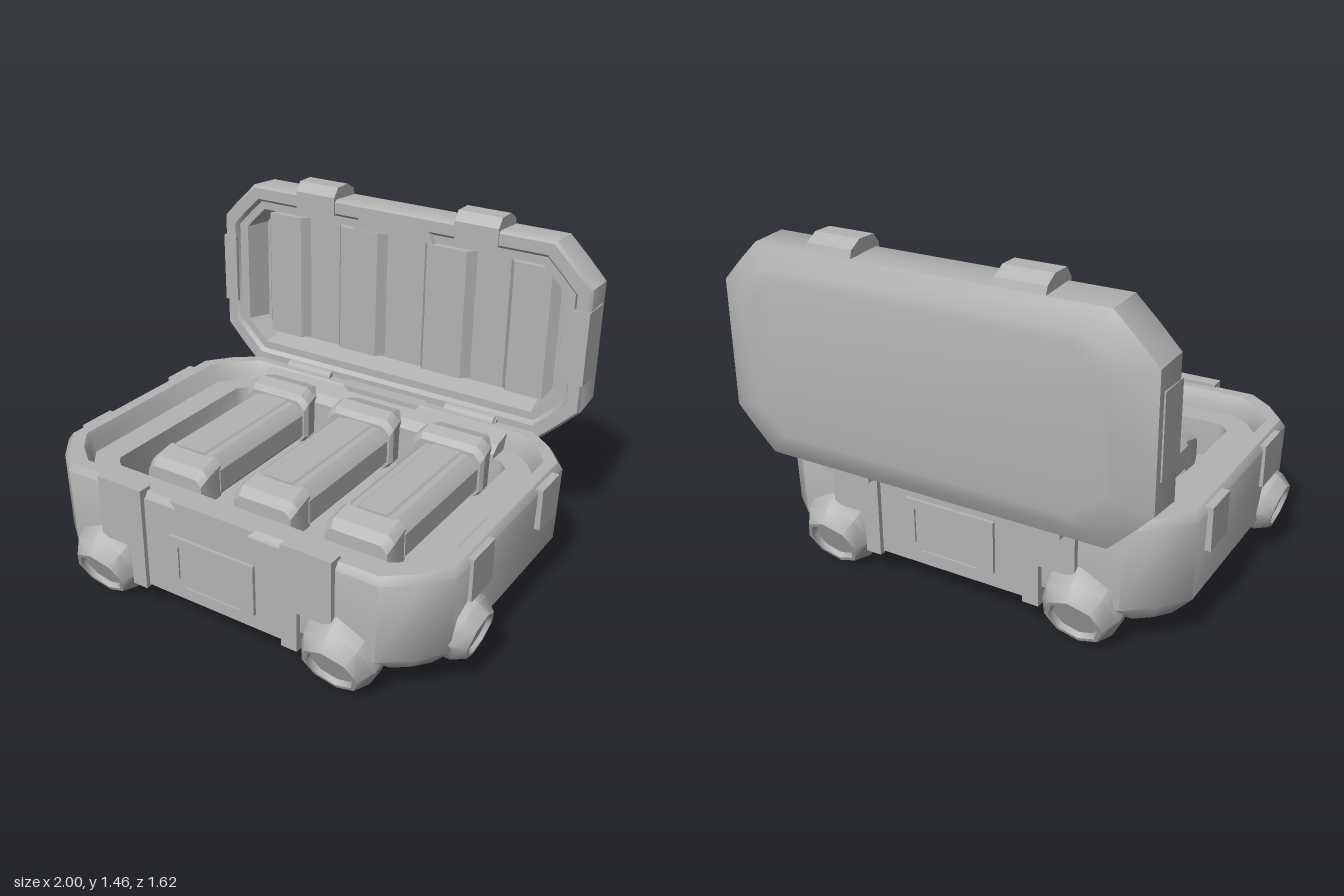
import * as THREE from 'three';
import { toCreasedNormals } from 'three/addons/utils/BufferGeometryUtils.js';

const grey = new THREE.MeshStandardMaterial({ color: 0xb3b3b3 });
grey.name = 'casing grey';

function add(parent, name, geometry, x = 0, y = 0, z = 0) {
  const mesh = new THREE.Mesh(geometry, grey);
  mesh.name = name;
  mesh.position.set(x, y, z);
  parent.add(mesh);
  return mesh;
}

// Chamfered rectangle whose corners bulge slightly outwards
function ringPoints([y, hx, zf, zb, c], bulge) {
  const points = [];
  const m = c * (0.5 - bulge);
  const corner = [[0, c], [m, m], [c, 0]];
  const quads = [[1, 1], [-1, 1], [-1, -1], [1, -1]];
  quads.forEach(([sx, sz], q) => {
    const list = q % 2 ? [...corner].reverse() : corner;
    for (const [dx, dz] of list) {
      points.push([sx * (hx - dx), y, sz > 0 ? zf - dz : zb + dz]);
    }
  });
  return points;
}

// Skin through rings [y, halfX, zFront, zBack, chamfer], closed at both ends
function loft(rings, bulge = 0.06, crease = 0.7) {
  const n = 12, index = [], last = (rings.length - 1) * n;
  const position = rings.flatMap((r) => ringPoints(r, bulge)).flat();
  for (let i = 0; i < last; i += n) {
    for (let j = 0; j < n; j++) {
      const a = i + j, b = i + (j + 1) % n;
      index.push(a, a + n, b, b, a + n, b + n);
    }
  }
  for (let j = 1; j < n - 1; j++) {
    index.push(0, j, j + 1, last, last + j + 1, last + j);
  }
  const g = new THREE.BufferGeometry();
  g.setAttribute('position', new THREE.Float32BufferAttribute(position, 3));
  g.setIndex(index);
  return toCreasedNormals(g, crease);
}

function polygon(points) {
  return new THREE.Shape(points.map(([x, y]) => new THREE.Vector2(x, y)));
}

function plate(points, depth, hole) {
  const shape = polygon(points);
  if (hole) shape.holes.push(polygon(hole));
  return new THREE.ExtrudeGeometry(shape, { depth, bevelEnabled: false });
}

// Rounded bumper foot with a recessed end, pointing along dir
function foot(parent, name, r, position, dir) {
  const profile = [[0, -1.7], [0.5, -1.65], [0.8, -1.4], [1, -0.8], [0.93, -0.35],
    [0.7, 0], [0.6, 0], [0.54, -0.12], [0, -0.12]];
  const g = new THREE.LatheGeometry(profile.map(([x, y]) => new THREE.Vector2(x * r, y * r)), 8);
  const mesh = add(parent, name, toCreasedNormals(g, 0.8), ...position);
  mesh.quaternion.setFromUnitVectors(new THREE.Vector3(0, 1, 0), new THREE.Vector3(...dir).normalize());
}

// Latch, posts, handle and feet of the front; reused on the back
function endFittings(name) {
  const g = new THREE.Group();
  g.name = name;
  const outer = [[-0.2, 0.2], [-0.16, 0.15], [0.16, 0.15], [0.2, 0.2], [0.2, 0.42], [-0.2, 0.42]];
  const inner = [[-0.16, 0.23], [-0.13, 0.2], [0.13, 0.2], [0.16, 0.23], [0.16, 0.38], [-0.16, 0.38]];
  add(g, 'centrePanel', new THREE.BoxGeometry(0.66, 0.4, 0.08), 0, 0.335, -0.036);
  add(g, 'latchFrame', plate(outer, 0.018, inner));
  add(g, 'latchPanel', plate(inner, 0.008), 0, 0, 0.002);
  add(g, 'handle', plate([[-0.2, 0.568], [-0.16, 0.53], [0.16, 0.53], [0.2, 0.568]], 0.09), 0, 0, -0.085);
  for (const s of [-1, 1]) {
    add(g, 'post', plate([[0.33, 0.125], [0.4, 0.125], [0.4, 0.3], [0.55, 0.3], [0.55, 0.575], [0.33, 0.575]]
      .map(([x, y]) => [s * x, y]), 0.06), 0, 0, -0.036);
    foot(g, 'endFoot', 0.172, [s * 0.56, 0.126, 0.05], [0, -0.45, 1]);
  }
  return g;
}

function makeBase() {
  const base = new THREE.Group();
  base.name = 'base';
  // Outer shell, rim, ledge and sunken floor
  add(base, 'tray', loft([
    [0.13, 0.85, 0.63, -0.53, 0.11], [0.2, 0.92, 0.715, -0.605, 0.2],
    [0.53, 0.93, 0.715, -0.605, 0.2], [0.56, 0.91, 0.695, -0.585, 0.19],
    [0.56, 0.86, 0.645, -0.545, 0.17], [0.53, 0.84, 0.625, -0.53, 0.16],
    [0.48, 0.82, 0.61, -0.51, 0.14], [0.48, 0.7, 0.5, -0.41, 0.05],
    [0.32, 0.69, 0.49, -0.4, 0.05],
  ]));
  // Sloping bank behind the canisters
  add(base, 'backBank', plate([[0.41, 0.46], [0.41, 0.5], [0.45, 0.53], [0.545, 0.55], [0.545, 0.46]], 1.24), -0.62)
    .rotation.y = Math.PI / 2;
  const front = endFittings('frontFittings');
  front.position.z = 0.715;
  const back = endFittings('backFittings');
  back.position.z = -0.605;
  back.rotation.y = Math.PI;
  base.add(front, back);
  for (const s of [-1, 1]) {
    add(base, 'sideStrapFront', new THREE.BoxGeometry(0.04, 0.18, 0.17), s * 0.922, 0.46, 0.33);
    add(base, 'sideStrapBack', new THREE.BoxGeometry(0.05, 0.18, 0.16), s * 0.925, 0.46, -0.245);
    foot(base, 'sideFoot', 0.143, [s * 0.975, 0.222, 0.39], [s, -0.25, 0]);
  }
  return base;
}

function makeLid() {
  const lid = new THREE.Group();
  lid.name = 'lid';
  const shell = add(lid, 'lidShell', loft([
    [-0.81, 0.74, 0.31, -0.31, 0.12], [-0.8, 0.8, 0.35, -0.35, 0.13],
    [-0.75, 0.905, 0.43, -0.43, 0.17], [-0.6, 0.91, 0.44, -0.44, 0.17],
    [-0.585, 0.9, 0.43, -0.43, 0.165], [-0.585, 0.85, 0.38, -0.38, 0.14],
    [-0.605, 0.835, 0.365, -0.365, 0.13], [-0.605, 0.79, 0.33, -0.33, 0.1],
    [-0.71, 0.75, 0.305, -0.305, 0.07],
  ], 0.01), 0, 0.97, 0);
  shell.rotation.x = Math.PI / 2;
  // Raised padding between the hollows above the canisters
  for (const [x, w] of [[-0.62, 0.24], [-0.22, 0.26], [0.22, 0.26], [0.62, 0.24]]) {
    const h = w / 2;
    const pad = add(lid, 'lidPad', plate([[-h, 0], [h, 0], [h - 0.035, 0.045], [0.035 - h, 0.045]], 0.59), x, 1.265, -0.715);
    pad.rotation.x = Math.PI / 2;
  }
  add(lid, 'lidCatch', plate([[-0.2, 1.3], [0.2, 1.3], [0.16, 1.37], [-0.16, 1.37]], 0.03), 0, 0, -0.612);
  for (const s of [-1, 1]) {
    // Clasps on the upper edge, side grips and hinges
    const clasp = add(lid, 'clasp', plate([[0.58, 1.34], [0.58, 1.42], [0.61, 1.46], [0.69, 1.46], [0.74, 1.43], [0.76, 1.37]], 0.2), s * 0.395 - 0.1);
    clasp.rotation.y = Math.PI / 2;
    add(lid, 'sideGrip', new THREE.BoxGeometry(0.07, 0.32, 0.14), s * 0.877, 0.985, -0.65);
    const hinge = add(lid, 'hinge', new THREE.CylinderGeometry(0.04, 0.04, 0.24, 8), s * 0.42, 0.55, -0.59);
    hinge.rotation.z = Math.PI / 2;
    add(lid, 'hingeLeaf', new THREE.BoxGeometry(0.22, 0.07, 0.12), s * 0.42, 0.525, -0.645);
  }
  return lid;
}

function makeCanister(x) {
  const canister = new THREE.Group();
  canister.name = 'canister';
  canister.position.set(x, 0.41, 0);
  const parts = {
    canisterHead: [[-0.52, 0.14, 0.1, -0.12, 0.03], [-0.41, 0.165, 0.1, -0.155, 0.04],
      [-0.35, 0.17, 0.1, -0.14, 0.04], [-0.33, 0.16, 0.1, -0.115, 0.04]],
    canisterBody: [[-0.34, 0.15, 0.1, -0.1, 0.05], [0.28, 0.15, 0.1, -0.1, 0.05]],
    canisterRib: [[-0.34, 0.075, 0.05, -0.108, 0.012], [0.28, 0.075, 0.05, -0.108, 0.012]],
    canisterCap: [[0.27, 0.145, 0.1, -0.1, 0.03], [0.36, 0.15, 0.1, -0.08, 0.03], [0.4, 0.14, 0.09, -0.05, 0.03]],
  };
  for (const [name, rings] of Object.entries(parts)) {
    add(canister, name, loft(rings, 0.06, 0.4)).rotation.x = Math.PI / 2;
  }
  return canister;
}

export function createModel() {
  const model = new THREE.Group();
  model.name = 'openCase';
  model.add(makeBase(), makeLid());
  for (const x of [-0.45, 0, 0.44]) model.add(makeCanister(x));
  return model;
}
